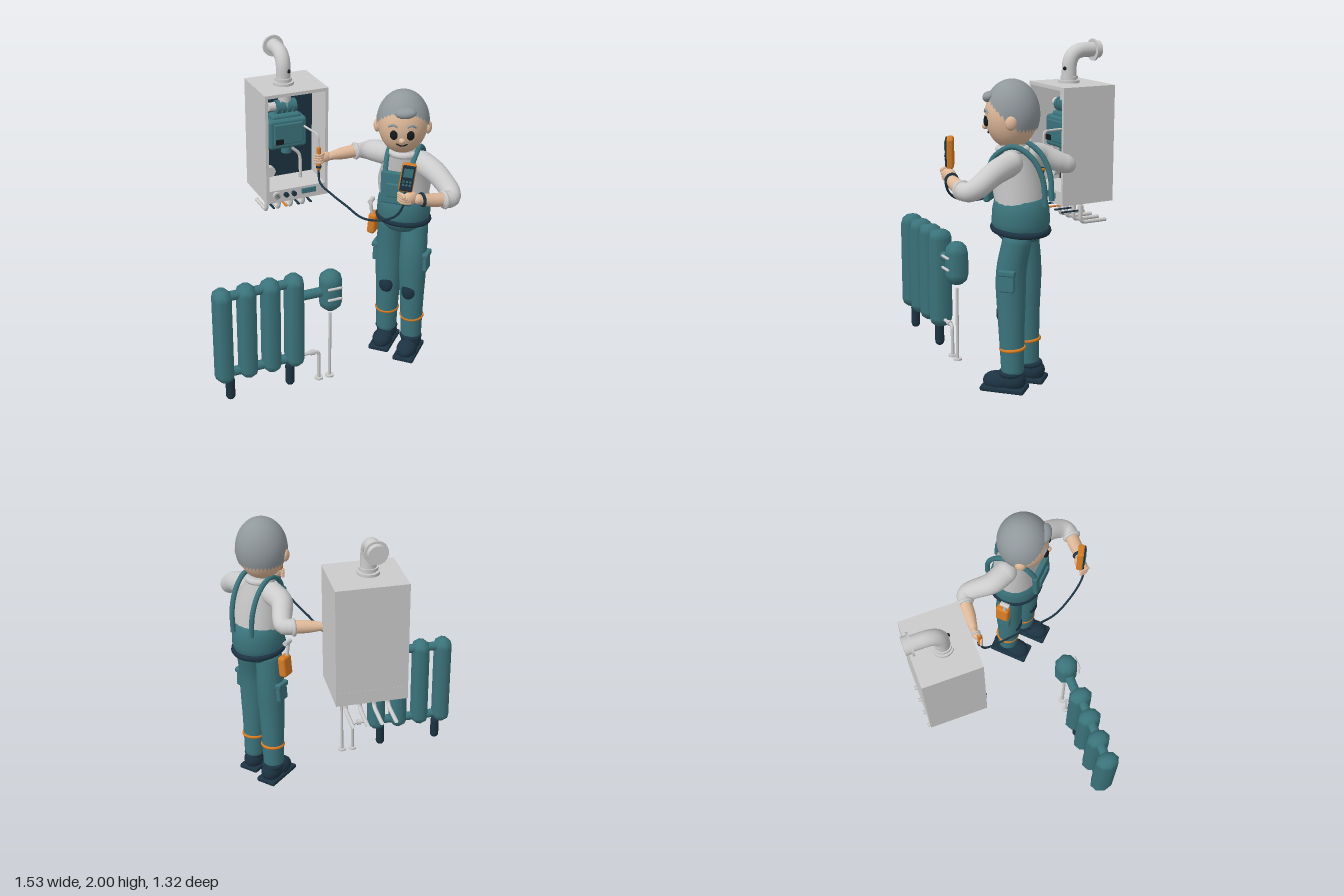
import * as THREE from 'three';
import { mergeGeometries } from 'three/addons/utils/BufferGeometryUtils.js';
import { RoundedBoxGeometry } from 'three/addons/geometries/RoundedBoxGeometry.js';

const mat = (color) => new THREE.MeshStandardMaterial({ color, side: THREE.DoubleSide });
const TEAL = mat(0x3b747c), NAVY = mat(0x1c3342), GREY = mat(0xcccccc), PANEL = mat(0xd2d6d5), HAIR = mat(0x90989c),
  SKIN = mat(0xdfb999), ORANGE = mat(0xd97c22), WHITE = mat(0xe6e8e8), BLACK = mat(0x14191d);
const V = (p) => new THREE.Vector3(...p);

function add(parent, name, geo, m, pos = [0, 0, 0], rot = [0, 0, 0], scale = [1, 1, 1]) {
  const mesh = new THREE.Mesh(geo, m);
  mesh.name = name;
  mesh.position.set(...pos);
  mesh.rotation.set(...rot);
  mesh.scale.set(...scale);
  parent.add(mesh);
  return mesh;
}
function group(parent, name, pos = [0, 0, 0], yaw = 0) {
  const g = new THREE.Group();
  g.name = name;
  g.position.set(...pos);
  g.rotation.y = yaw;
  parent.add(g);
  return g;
}
const box = (x, y, z, r = 0.01) => new RoundedBoxGeometry(x, y, z, 2, r);
const cyl = (r, h, n = 20, r2 = r) => new THREE.CylinderGeometry(r, r2, h, n);
const ball = (n = 20) => new THREE.SphereGeometry(1, n, Math.ceil(n * 0.7));
const ring = (R, r) => new THREE.TorusGeometry(R, r, 8, 28).rotateX(Math.PI / 2);
const tube = (pts, r, seg = 24) => new THREE.TubeGeometry(new THREE.CatmullRomCurve3(pts.map(V)), seg, r, 10);

// Pipe with straight runs and one rounded bend at the middle point
function bentPipe(a, b, c, bend, r, n = 12) {
  const A = V(a), B = V(b), C = V(c), path = new THREE.CurvePath();
  const p = B.clone().add(A.clone().sub(B).setLength(bend)), q = B.clone().add(C.clone().sub(B).setLength(bend));
  path.add(new THREE.LineCurve3(A, p));
  path.add(new THREE.QuadraticBezierCurve3(p, B, q));
  path.add(new THREE.LineCurve3(q, C));
  return new THREE.TubeGeometry(path, 40, r, n);
}
// Round-ended sweep whose radius follows a list of values
function limb(pts, radii, n = 20, seg = 24) {
  const curve = new THREE.CatmullRomCurve3(pts.map(V));
  const geo = new THREE.TubeGeometry(curve, seg, 1, n), pos = geo.attributes.position, p = new THREE.Vector3();
  const radius = new THREE.SplineCurve(radii.map((r, i) => new THREE.Vector2(i, r)));
  for (let i = 0; i < pos.count; i++) {
    const t = Math.floor(i / (n + 1)) / seg, c = curve.getPointAt(t);
    p.fromBufferAttribute(pos, i).sub(c).multiplyScalar(radius.getPoint(t).y).add(c);
    pos.setXYZ(i, p.x, p.y, p.z);
  }
  const cap = (q, r) => new THREE.SphereGeometry(r, n, 12).translate(...q);
  return mergeGeometries([geo, cap(pts[0], radii[0]), cap(pts[pts.length - 1], radii[radii.length - 1])]);
}

function buildRadiator(root) {
  const g = group(root, 'radiator', [0, 0, 0.345]), side = [0, 0, Math.PI / 2];
  for (let i = 0; i < 4; i++)
    add(g, 'column', new THREE.CapsuleGeometry(0.064, 0.53, 3, 8), TEAL, [-0.7 + i * 0.155, 0.48, 0], [0, 0, 0], [1, 1, 1.25]);
  for (const y of [0.75, 0.21]) add(g, 'crossTube', cyl(0.03, 0.5, 12), TEAL, [-0.465, y, 0], side);
  for (const x of [-0.665, -0.265]) add(g, 'foot', new THREE.CapsuleGeometry(0.03, 0.11, 4, 12), NAVY, [x, 0.095, 0]);
  // Regulator head, its neck and grips
  add(g, 'valveHead', new THREE.CapsuleGeometry(0.077, 0.13, 3, 8), TEAL, [0.01, 0.643, 0]);
  add(g, 'valveNeck', cyl(0.031, 0.19, 12), TEAL, [-0.12, 0.643, 0], side);
  for (const y of [0.69, 0.615]) add(g, 'valveGrip', new THREE.CapsuleGeometry(0.009, 0.08, 4, 8), GREY, [0.008, y, 0.077], side);
  // Floor pipes
  add(g, 'supplyPipe', cyl(0.01, 0.48, 10), GREY, [0.01, 0.24, 0]);
  add(g, 'returnPipe', bentPipe([-0.18, 0.21, 0], [-0.065, 0.21, 0], [-0.065, 0, 0], 0.035, 0.011), GREY);
  add(g, 'pipeNut', cyl(0.018, 0.03, 6), GREY, [-0.11, 0.21, 0], side);
  for (const x of [0.01, -0.065]) add(g, 'floorFlange', cyl(0.028, 0.012, 16), GREY, [x, 0.007, 0]);
}

function buildBoiler(root) {
  const g = group(root, 'boiler'), front = [Math.PI / 2, 0, 0];
  // Open-fronted case
  const frame = new THREE.Shape([[-0.17, 0.99], [0.26, 0.99], [0.26, 1.73], [-0.17, 1.73]].map((p) => new THREE.Vector2(...p)));
  frame.holes.push(new THREE.Path([[-0.15, 1.075], [-0.15, 1.708], [0.24, 1.708], [0.24, 1.075]].map((p) => new THREE.Vector2(...p))));
  add(g, 'case', new THREE.ExtrudeGeometry(frame, { depth: 0.37, bevelEnabled: false }), PANEL, [0, 0, -0.64]);
  add(g, 'caseBack', new THREE.BoxGeometry(0.42, 0.73, 0.02), PANEL, [0.045, 1.36, -0.629]);
  add(g, 'innerPanel', new THREE.BoxGeometry(0.39, 0.633, 0.02), NAVY, [0.045, 1.39, -0.5]);
  // Inner works
  add(g, 'innerFlue', cyl(0.042, 0.13), GREY, [0.025, 1.65, -0.43]);
  for (let i = 0; i < 4; i++) add(g, 'fanRib', cyl(0.045, 0.026), TEAL, [-0.03 + i * 0.036, 1.59, -0.42], [0, 0, Math.PI / 2]);
  add(g, 'fanShaft', cyl(0.032, 0.14), TEAL, [0.025, 1.59, -0.42], [0, 0, Math.PI / 2]);
  add(g, 'fanInlet', cyl(0.028, 0.045), GREY, [-0.07, 1.597, -0.42], [0, 0, Math.PI / 2]);
  add(g, 'burnerBox', box(0.26, 0.2, 0.13, 0.02), TEAL, [0.02, 1.42, -0.42]);
  add(g, 'burnerLid', box(0.2, 0.05, 0.1, 0.02), TEAL, [0.02, 1.52, -0.43]);
  add(g, 'burnerCover', box(0.2, 0.14, 0.02, 0.008), TEAL, [0.02, 1.425, -0.352]);
  add(g, 'burnerWindow', box(0.055, 0.035, 0.012, 0.004), BLACK, [-0.045, 1.378, -0.34]);
  add(g, 'burnerBase', cyl(0.035, 0.06), TEAL, [0.03, 1.3, -0.42]);
  add(g, 'leftPipe', tube([[-0.09, 1.48, -0.42], [-0.12, 1.45, -0.42], [-0.125, 1.3, -0.42], [-0.12, 1.2, -0.42], [-0.09, 1.15, -0.42]], 0.011), GREY);
  add(g, 'rightPipe', tube([[0.06, 1.3, -0.4], [0.11, 1.25, -0.4], [0.12, 1.15, -0.4], [0.12, 1.08, -0.4]], 0.011), GREY);
  add(g, 'expansionDial', cyl(0.036, 0.04), GREY, [-0.09, 1.15, -0.42], front);
  // Control strip
  add(g, 'gaugeRim', cyl(0.028, 0.02), GREY, [-0.1, 1.04, -0.265], front);
  add(g, 'gaugeFace', cyl(0.02, 0.006), HAIR, [-0.1, 1.04, -0.254], front);
  add(g, 'gaugeNeedle', new THREE.BoxGeometry(0.004, 0.024, 0.004), BLACK, [-0.1, 1.044, -0.25], [0, 0, 0.7]);
  for (const x of [-0.037, 0.018]) add(g, 'knob', cyl(0.016, 0.026), NAVY, [x, 1.04, -0.26], front);
  add(g, 'display', box(0.1, 0.036, 0.012, 0.004), TEAL, [0.125, 1.042, -0.268]);
  // Connections underneath with shut-off levers
  [-0.1, -0.012, 0.076, 0.164].forEach((x, i) => {
    add(g, 'connectionPipe', bentPipe([x, 1, -0.46], [x, 0.845, -0.46], [x, 0.845, -0.652], 0.04, 0.013), GREY);
    add(g, 'connectionNut', cyl(0.02, 0.045, 8), GREY, [x, 0.935, -0.46]);
    add(g, 'lever', box(0.016, 0.01, 0.13, 0.004), i === 1 ? ORANGE : NAVY, [x, 0.925, -0.385]);
  });
  // Exhaust flue
  add(g, 'flue', bentPipe([0.025, 1.72, -0.447], [0.025, 1.932, -0.447], [0.025, 1.932, -0.65], 0.11, 0.047, 24), GREY);
  for (const [y, r] of [[1.738, 0.066], [1.765, 0.056]]) add(g, 'flueCollar', cyl(r, 0.018, 28), GREY, [0.025, y, -0.447]);
  add(g, 'flueFlange', cyl(0.07, 0.012, 28), GREY, [0.025, 1.93, -0.622], front);
  add(g, 'flueEnd', cyl(0.055, 0.04, 28), GREY, [0.025, 1.932, -0.643], front);
  add(g, 'testPort', ball(12), BLACK, [0.045, 1.823, -0.403], [0, 0, 0], [0.012, 0.012, 0.012]);
}

function buildHead(root) {
  const g = group(root, 'head', [0.53, 1.645, 0.235], -0.5);
  add(g, 'face', ball(32), SKIN, [0, -0.003, 0], [0, 0, 0], [0.152, 0.195, 0.152]);
  // Hair shell: hairline is high in front and low behind
  const hair = new THREE.SphereGeometry(1, 40, 16), p = hair.attributes.position, uv = hair.attributes.uv;
  for (let i = 0; i < p.count; i++) {
    const az = uv.getX(i) * Math.PI * 2, back = 0.5 - 0.5 * Math.cos(az);
    const th = (1 - uv.getY(i)) * Math.PI * (0.34 + 0.31 * Math.min(1, back * 1.6));
    p.setXYZ(i, Math.sin(th) * Math.sin(az), Math.cos(th), Math.sin(th) * Math.cos(az));
  }
  hair.computeVertexNormals();
  add(g, 'hair', hair, HAIR, [0, 0, -0.002], [0, 0, 0], [0.162, 0.2, 0.162]);
  add(g, 'forelock', ball(), HAIR, [0.015, 0.1, 0.125], [0.3, 0, 0.1], [0.065, 0.032, 0.04]);
  for (const s of [-1, 1]) {
    add(g, 'ear', ball(), SKIN, [s * 0.153, -0.03, 0], [0, 0, 0], [0.024, 0.042, 0.034]);
    add(g, 'eye', ball(), BLACK, [s * 0.05, -0.035, 0.142], [0, s * 0.3, 0], [0.024, 0.03, 0.015]);
    add(g, 'eyebrow', tube([[s * 0.028, 0.018, 0.15], [s * 0.055, 0.028, 0.142], [s * 0.083, 0.012, 0.127]], 0.007, 10), HAIR);
  }
  add(g, 'nose', ball(), SKIN, [0, -0.07, 0.148], [0, 0, 0], [0.02, 0.018, 0.02]);
  add(g, 'smile', tube([[-0.035, -0.095, 0.131], [0, -0.108, 0.132], [0.035, -0.095, 0.131]], 0.004, 12), BLACK);
}

function buildBody(root) {
  const g = group(root, 'body', [0.58, 0, 0.2], -Math.PI / 4);
  add(g, 'shirt', limb([[0, 1.08, 0], [0, 1.2, 0.01], [0, 1.32, 0.025], [0, 1.4, 0.04], [0, 1.45, 0.05]], [0.13, 0.152, 0.155, 0.125, 0.075]), WHITE, [0, 0, 0], [0, 0, 0], [1.06, 1, 0.95]);
  add(g, 'collar', ring(0.078, 0.022), WHITE, [0, 1.445, 0.05]);
  add(g, 'trouserTop', new THREE.LatheGeometry([[0.03, 0.9], [0.11, 0.92], [0.155, 0.97], [0.17, 1.03], [0.166, 1.1], [0.152, 1.165], [0.12, 1.18]].map((q) => new THREE.Vector2(...q)), 32), TEAL);
  add(g, 'belt', ring(0.16, 0.019), NAVY, [0, 0.985, 0], [-0.08, 0, -0.05]);
  add(g, 'bib', box(0.2, 0.21, 0.035, 0.012), TEAL, [0, 1.25, 0.175], [-0.04, 0, 0]);
  add(g, 'bibPocket', box(0.12, 0.09, 0.02, 0.008), TEAL, [0, 1.24, 0.195]);
  for (const s of [-1, 1]) {
    // Strap over the shoulder
    add(g, 'strap', tube([[s * 0.07, 1.14, -0.165], [s * 0.078, 1.3, -0.15], [s * 0.085, 1.42, -0.085], [s * 0.09, 1.475, 0.02], [s * 0.085, 1.42, 0.125], [s * 0.075, 1.33, 0.175]], 0.016), TEAL);
    // Leg, knee pad, cuff band and side pocket
    const k = s * 0.02;
    add(g, 'leg', limb([[s * 0.078, 0.92, 0], [s * 0.085, 0.75, 0.01 + k], [s * 0.088, 0.5, 0.01 + k], [s * 0.093, 0.15, k]], [0.085, 0.088, 0.077, 0.068]), TEAL);
    add(g, 'kneePad', ball(), NAVY, [s * 0.083, 0.49, 0.073 + k], [0, 0, 0], [0.047, 0.062, 0.026]);
    add(g, 'cuffBand', ring(0.07, 0.01), ORANGE, [s * 0.092, 0.28, k], [0.08, 0, 0]);
    add(g, 'legPocket', box(0.035, 0.125, 0.09, 0.01), TEAL, [s * 0.17, 0.705, 0.01 + k], [0, 0, s * 0.06]);
    add(g, 'pocketFlap', box(0.045, 0.035, 0.1, 0.01), TEAL, [s * 0.173, 0.755, 0.01 + k], [0, 0, s * 0.06]);
    // Boot
    const boot = group(g, 'boot', [s * 0.095, 0, 0.037 + s * 0.032]);
    add(boot, 'sole', box(0.14, 0.032, 0.27, 0.012), NAVY, [0, 0.03, 0]);
    add(boot, 'toe', ball(), NAVY, [0, 0.065, 0.04], [0, 0, 0], [0.066, 0.06, 0.092]);
    add(boot, 'heel', ball(), NAVY, [0, 0.08, -0.055], [0, 0, 0], [0.066, 0.07, 0.075]);
    add(boot, 'bootCollar', ring(0.056, 0.018), NAVY, [0, 0.125, -0.04]);
  }
  // Tool pouch on the right hip
  add(g, 'pouch', box(0.055, 0.14, 0.09, 0.018), ORANGE, [-0.2, 0.9, 0.0], [0, 0, -0.08]);
  add(g, 'toolHandle', cyl(0.011, 0.11, 10), GREY, [-0.21, 1.01, 0.02], [0.1, 0, 0.1]);
  add(g, 'toolHead', cyl(0.016, 0.06, 10), GREY, [-0.21, 1.06, 0.02], [Math.PI / 2, 0, 0]);
}

function buildArms(root) {
  const g = group(root, 'arms'), across = [0, 0, Math.PI / 2];
  // Left arm with watch, raising the meter
  add(g, 'leftSleeve', limb([[0.64, 1.38, 0.3], [0.68, 1.345, 0.42], [0.705, 1.275, 0.545], [0.685, 1.255, 0.59], [0.64, 1.258, 0.6]], [0.073, 0.07, 0.064, 0.06, 0.05]), WHITE);
  add(g, 'leftCuff', ring(0.045, 0.013), WHITE, [0.632, 1.26, 0.6], across);
  add(g, 'leftForearm', limb([[0.62, 1.262, 0.598], [0.55, 1.272, 0.597], [0.46, 1.292, 0.592]], [0.042, 0.04, 0.03]), SKIN);
  add(g, 'watchBand', ring(0.035, 0.01), NAVY, [0.487, 1.286, 0.594], across);
  add(g, 'leftPalm', ball(), SKIN, [0.415, 1.3, 0.575], [0, 0.2, -0.1], [0.056, 0.042, 0.034]);
  for (let i = 0; i < 4; i++)
    add(g, 'leftFinger', limb([[0.4 - i * 0.012, 1.282 + i * 0.014, 0.6], [0.362, 1.285 + i * 0.015, 0.585], [0.352, 1.288 + i * 0.015, 0.55]], [0.011, 0.012, 0.01], 8, 8), SKIN);
  // Right arm reaching into the boiler
  add(g, 'rightSleeve', limb([[0.49, 1.39, 0.1], [0.455, 1.375, 0.0], [0.475, 1.325, -0.12], [0.475, 1.305, -0.17], [0.43, 1.302, -0.19]], [0.073, 0.07, 0.063, 0.058, 0.047]), WHITE);
  add(g, 'rightCuff', ring(0.044, 0.013), WHITE, [0.42, 1.3, -0.192], across);
  add(g, 'rightForearm', limb([[0.41, 1.3, -0.192], [0.34, 1.297, -0.195], [0.25, 1.29, -0.2]], [0.041, 0.039, 0.027]), SKIN);
  add(g, 'rightPalm', ball(), SKIN, [0.215, 1.288, -0.203], [0, 0, 0], [0.045, 0.034, 0.024]);
  for (let i = 0; i < 4; i++)
    add(g, 'rightFinger', limb([[0.2, 1.268 + i * 0.015, -0.2], [0.165, 1.265 + i * 0.017, -0.178], [0.135, 1.268 + i * 0.017, -0.19]], [0.011, 0.01, 0.008], 8, 8), SKIN);
}

function buildTester(root) {
  const g = group(root, 'tester');
  // Hand-held meter
  const m = group(g, 'meter', [0.4, 1.43, 0.56], -0.5);
  m.rotation.z = -0.12;
  add(m, 'meterBody', box(0.085, 0.18, 0.042, 0.014), ORANGE);
  add(m, 'meterFront', box(0.074, 0.165, 0.016, 0.007), NAVY, [0, 0.003, 0.02]);
  add(m, 'meterScreen', box(0.055, 0.055, 0.006, 0.002), TEAL, [0, 0.04, 0.029]);
  for (let i = 0; i < 6; i++) add(m, 'meterButton', cyl(0.007, 0.008, 10), TEAL, [-0.02 + (i % 3) * 0.02, -0.015 - Math.floor(i / 3) * 0.022, 0.029], [Math.PI / 2, 0, 0]);
  // Probe, sampling tube and cable
  add(g, 'probe', new THREE.CapsuleGeometry(0.014, 0.14, 4, 12), ORANGE, [0.16, 1.29, -0.19]);
  add(g, 'probeRing', cyl(0.018, 0.014, 12), NAVY, [0.16, 1.235, -0.19]);
  add(g, 'samplingTube', bentPipe([0.16, 1.36, -0.19], [0.155, 1.457, -0.19], [0.13, 1.457, -0.36], 0.03, 0.007, 8), GREY);
  add(g, 'cable', tube([[0.16, 1.21, -0.19], [0.155, 1.14, -0.16], [0.175, 1.112, 0], [0.2, 1.1, 0.15], [0.23, 1.09, 0.33], [0.29, 1.125, 0.46], [0.345, 1.19, 0.55], [0.375, 1.28, 0.58], [0.395, 1.36, 0.56]], 0.007, 48), NAVY);
}

export function createModel() {
  const root = new THREE.Group();
  root.name = 'heatingEngineerScene';
  buildRadiator(root);
  buildBoiler(root);
  const worker = group(root, 'worker');
  buildHead(worker);
  buildBody(worker);
  buildArms(worker);
  buildTester(root);
  return root;
}
